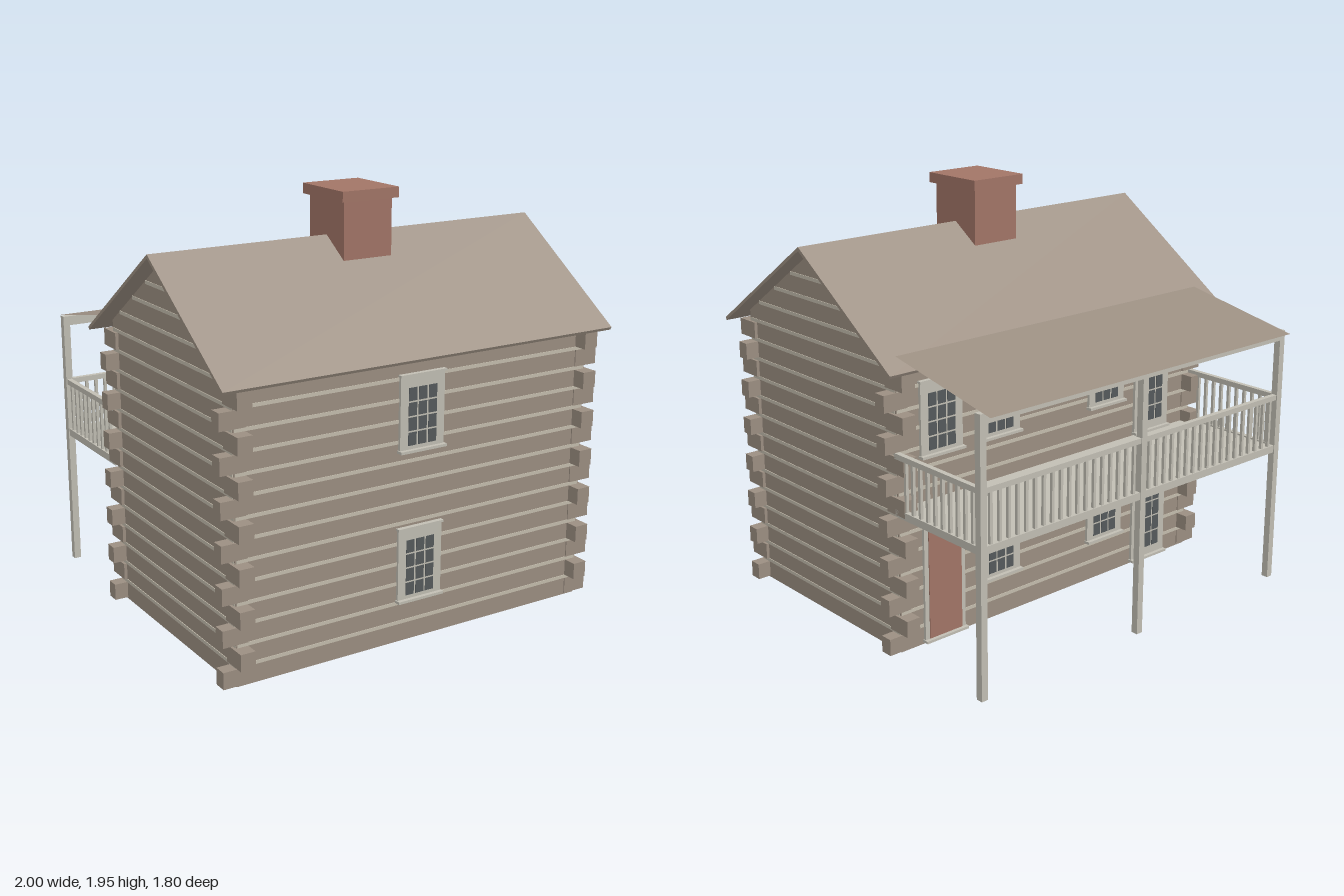
import * as THREE from 'three';

const mat = (name, color, side = THREE.FrontSide) => {
  const m = new THREE.MeshStandardMaterial({ color, side });
  m.name = name;
  return m;
};

export function createModel() {
  const wood = mat('weathered wood', 0x9c8f82);
  const shingle = mat('roof shingle', 0x9c8f82, THREE.DoubleSide);
  const chink = mat('pale chinking', 0xc5beae);
  const trim = mat('grey trim', 0xc2bfb4);
  const glass = mat('dark glass', 0x555a5c);
  const brick = mat('red brick', 0xa27567);

  const model = new THREE.Group();
  model.name = 'logHouse';

  const add = (parent, name, geometry, material) => {
    const mesh = new THREE.Mesh(geometry, material);
    mesh.name = name;
    parent.add(mesh);
    return mesh;
  };
  // Box given by its low and high corner
  const box = (parent, name, material, x0, x1, y0, y1, z0, z1) => {
    const mesh = add(parent, name, new THREE.BoxGeometry(x1 - x0, y1 - y0, z1 - z0), material);
    mesh.position.set((x0 + x1) / 2, (y0 + y1) / 2, (z0 + z1) / 2);
    return mesh;
  };
  // Outline in depth and height, extruded along x
  const crossSection = (points, width) =>
    new THREE.ExtrudeGeometry(new THREE.Shape(points.map(p => new THREE.Vector2(...p))),
      { depth: width, bevelEnabled: false }).translate(0, 0, -width / 2).rotateY(Math.PI / 2);

  // House body, centred under the ridge
  const HX = 0.915, HZ = 0.555, PITCH = 0.093, SLOPE = 0.685, PEAK = 1.725;
  const house = new THREE.Group();
  house.name = 'house';
  house.position.z = 0.265;
  model.add(house);

  const eave = PEAK - HZ * SLOPE;
  for (const s of [-1, 1]) {
    box(house, s > 0 ? 'frontWall' : 'backWall', wood, -HX, HX, 0, eave - 0.01,
      s * (HZ - 0.006) - 0.006, s * (HZ - 0.006) + 0.006);
    const gable = add(house, 'gableWall',
      crossSection([[-HZ, 0], [HZ, 0], [HZ, eave], [0, PEAK], [-HZ, eave]], 0.012), wood);
    gable.position.x = s * (HX - 0.006);
  }

  // Chinking strips between the log courses, narrowing up the gables
  for (let k = 0; k < 18; k++) {
    const y = 0.0915 + k * PITCH;
    const half = Math.min(0.55, (PEAK - 0.01 - y) / SLOPE);
    for (const s of [-1, 1]) {
      box(house, 'gableChinking', chink, s * HX - 0.003, s * HX + 0.003, y - 0.008, y + 0.008, -half, half);
      if (k < 13) box(house, 'wallChinking', chink, -0.91, 0.91, y - 0.008, y + 0.008, s * HZ - 0.003, s * HZ + 0.003);
    }
  }

  // Notched log ends alternate direction at each corner
  for (let k = 0; k < 14; k++) {
    const alongX = k % 2 === 0;
    const w = alongX ? 0.12 : 0.07, d = alongX ? 0.06 : 0.12;
    for (const sx of [-1, 1]) for (const sz of [-1, 1]) {
      const end = add(house, 'logEnd', new THREE.BoxGeometry(w, 0.077, d), wood);
      end.position.set(sx * (0.86 + w / 2), 0.045 + k * PITCH, sz * (0.5 + d / 2));
    }
  }

  // Main roof
  add(house, 'mainRoof', crossSection([[-0.635, 1.305], [0, 1.74], [0.635, 1.305],
    [0.628, 1.292], [0, 1.722], [-0.628, 1.292]], 2), shingle);

  // Chimney runs from the ground through the ridge
  box(house, 'chimney', brick, -0.125, 0.125, 0.003, 1.905, -0.14, 0.14);
  box(house, 'chimneyCap', brick, -0.147, 0.147, 1.903, 1.95, -0.163, 0.163);

  // Openings are modelled facing +z, then turned for the back wall
  const opening = (name, x, y, h, back) => {
    const g = new THREE.Group();
    g.name = name;
    g.position.set(x, y, back ? -HZ : HZ);
    if (back) g.rotation.y = Math.PI;
    house.add(g);
    box(g, 'frame', trim, -0.115, 0.115, 0, h, 0, 0.014);
    box(g, 'lintel', trim, -0.12, 0.12, h - 0.008, h + 0.002, 0, 0.022);
    box(g, 'sill', trim, -0.12, 0.12, 0, 0.012, 0, 0.032);
    return g;
  };
  const panes = (g, rows, y0, y1) => {
    const step = (y1 - y0) / rows;
    for (let r = 0; r < rows; r++) for (let c = -1; c <= 1; c++) {
      box(g, 'pane', glass, c * 0.052 - 0.0215, c * 0.052 + 0.0215,
        y0 + r * step + 0.004, y0 + (r + 1) * step - 0.004, 0.012, 0.016);
    }
  };
  const windows = [[0, 0.19, false], [0, 0.88, false],
    [0.345, 0.2, true], [-0.32, 0.2, true],
    [0.68, 0.88, true], [0.345, 0.88, true], [-0.32, 0.88, true]];
  for (const [x, y, back] of windows) panes(opening('window', x, y, 0.345, back), 4, 0.025, 0.29);
  for (const [y, h] of [[0.01, 0.59], [0.685, 0.57]]) {
    panes(opening('glazedDoor', -0.63, y, h, true), 6, 0.05, h - 0.05);
  }
  const door = opening('frontDoor', 0.675, 0.01, 0.59, true);
  box(door, 'doorPanel', brick, -0.092, 0.092, 0.014, 0.555, 0.01, 0.018);

  // Two-storey porch
  const porch = new THREE.Group();
  porch.name = 'porch';
  model.add(porch);
  const ZP = -0.84, XP = 0.918, R = 0.0165;
  box(porch, 'balconyFloor', trim, -XP, XP, 0.652, 0.678, ZP, -0.285);
  for (const x of [-XP, 0, XP]) box(porch, 'post', trim, x - R, x + R, 0, 1.24, ZP - R, ZP + R);
  box(porch, 'roofBeam', trim, -XP - R, XP + R, 1.205, 1.25, ZP - R, ZP + R);
  for (const [name, y0, y1] of [['bottomRail', 0.65, 0.685], ['topRail', 0.912, 0.937]]) {
    box(porch, name, trim, -XP, XP, y0, y1, ZP - 0.012, ZP + 0.012);
    for (const x of [-XP, XP]) box(porch, name, trim, x - 0.012, x + 0.012, y0, y1, ZP, -0.29);
  }
  const baluster = (x, z) => box(porch, 'baluster', trim, x - 0.007, x + 0.007, 0.68, 0.915, z - 0.007, z + 0.007);
  for (let i = 1; i < 38; i++) if (i !== 19) baluster(-XP + i * XP / 19, ZP);
  for (let i = 0; i < 10; i++) for (const x of [-XP, XP]) baluster(x, -0.355 - i * 0.0485);

  // Thin porch roof tucked onto the main roof
  const z0 = -0.3, z1 = -0.9, y0 = 1.36, y1 = 1.243;
  const porchRoof = add(porch, 'porchRoof', new THREE.PlaneGeometry(1.836, Math.hypot(z0 - z1, y0 - y1)), shingle);
  porchRoof.position.set(0, (y0 + y1) / 2, (z0 + z1) / 2);
  porchRoof.rotation.x = -Math.PI / 2 - Math.atan2(y0 - y1, z0 - z1);

  return model;
}
